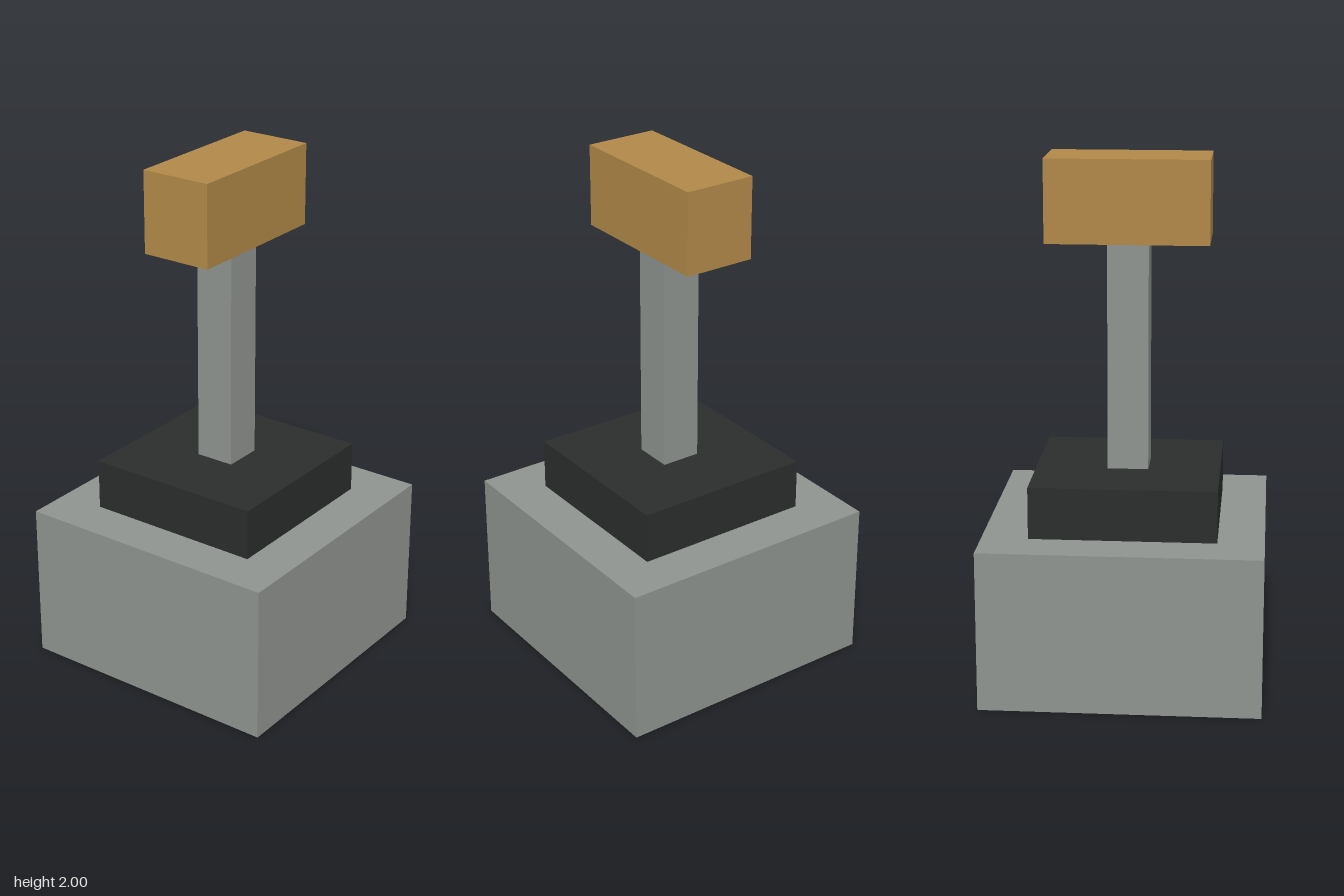
import * as THREE from 'three';

// Adds a box standing on height y0 and reaching up to y1
function addBox(group, name, width, depth, y0, y1, color) {
  const mesh = new THREE.Mesh(
    new THREE.BoxGeometry(width, y1 - y0, depth),
    new THREE.MeshStandardMaterial({ color })
  );
  mesh.name = name;
  mesh.position.y = (y0 + y1) / 2;
  group.add(mesh);
}

export function createModel() {
  const group = new THREE.Group();
  group.name = 'lever';
  const grey = 0x8e938f, black = 0x2a2d2c, ochre = 0xb08848;

  addBox(group, 'base', 1.054, 1.054, 0, 0.615, grey);
  addBox(group, 'collar', 0.703, 0.703, 0.615, 0.813, black);
  addBox(group, 'post', 0.155, 0.155, 0.813, 1.686, grey);
  addBox(group, 'handle', 0.612, 0.28, 1.686, 2, ochre);

  return group;
}
